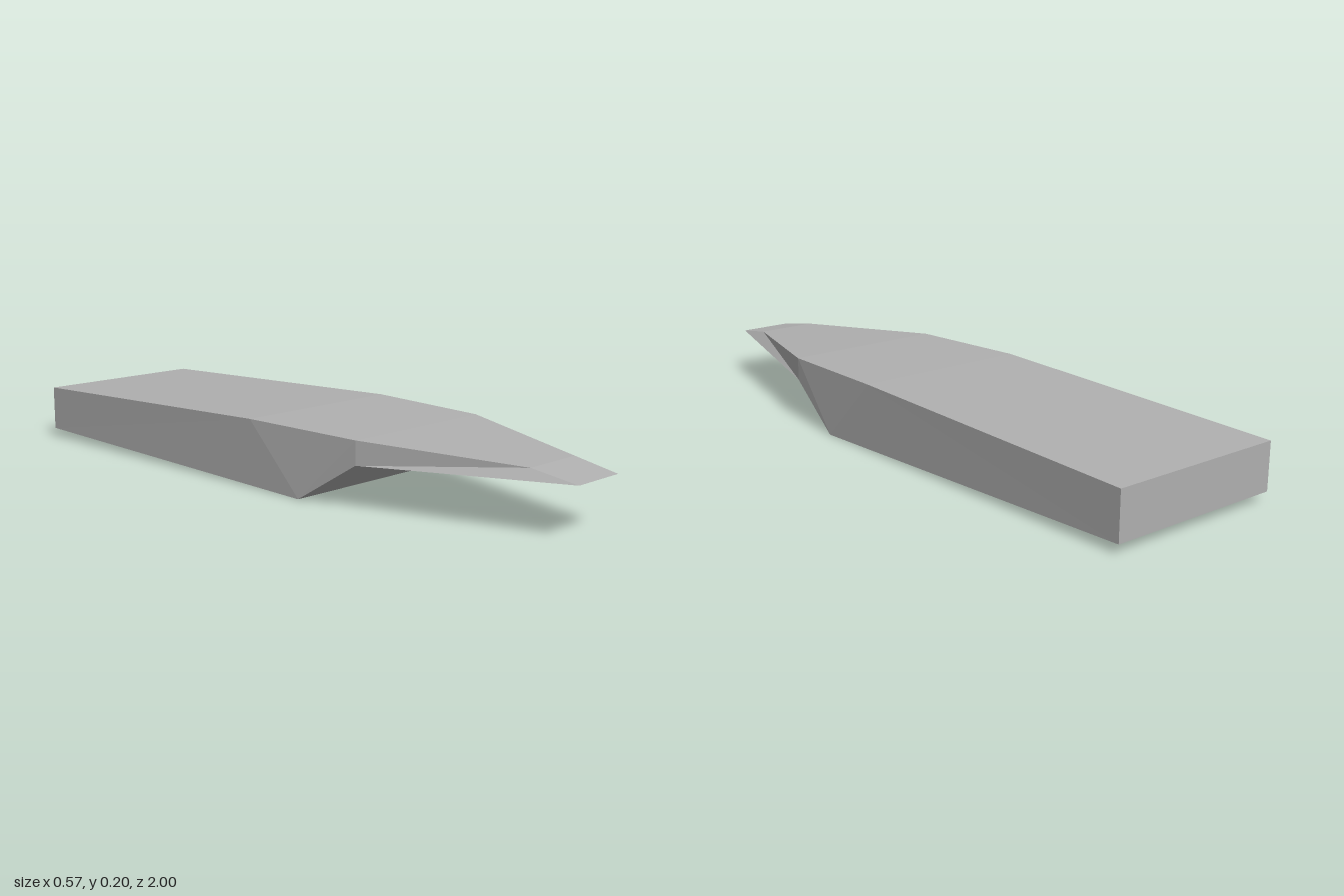
import * as THREE from 'three';

// Stations from back to front: top edge and bottom edge, each [half width, y, z]
const stations = [
  { top: [0.283, 0.168, -1], bottom: [0.283, 0.027, -1] },
  { top: [0.28, 0.202, 0], bottom: [0.28, 0, 0.2] },
  { top: [0.257, 0.197, 0.4], bottom: [0.257, 0.127, 0.4] },
  { top: [0.097, 0.173, 0.86], bottom: [0.087, 0.15, 1] },
];

// Four corners of a station, counterclockwise seen from the front
function corners({ top: [tw, ty, tz], bottom: [bw, by, bz] }) {
  return [[tw, ty, tz], [-tw, ty, tz], [-bw, by, bz], [bw, by, bz]];
}

function loft(sections) {
  const positions = [];
  const quad = (a, b, c, d) => positions.push(...a, ...b, ...c, ...a, ...c, ...d);
  // Skin between neighbouring stations, with mirrored diagonals on the sides
  for (let k = 0; k < sections.length - 1; k++) {
    const back = sections[k], front = sections[k + 1];
    for (let i = 0; i < 4; i++) {
      const j = (i + 1) % 4;
      if (i === 1) quad(back[j], front[j], front[i], back[i]);
      else quad(back[i], back[j], front[j], front[i]);
    }
  }
  // Flat back end and sloped tip
  const [a, b, c, d] = sections[0];
  quad(d, c, b, a);
  quad(...sections[sections.length - 1]);
  const geometry = new THREE.BufferGeometry();
  geometry.setAttribute('position', new THREE.Float32BufferAttribute(positions, 3));
  geometry.computeVertexNormals();
  return geometry;
}

export function createModel() {
  const grey = new THREE.MeshStandardMaterial({ color: 0xb0b0b0 });
  grey.name = 'grey';
  grey.flatShading = true;

  const group = new THREE.Group();
  group.name = 'taperedHull';
  const hull = new THREE.Mesh(loft(stations.map(corners)), grey);
  hull.name = 'hull';
  group.add(hull);
  return group;
}
